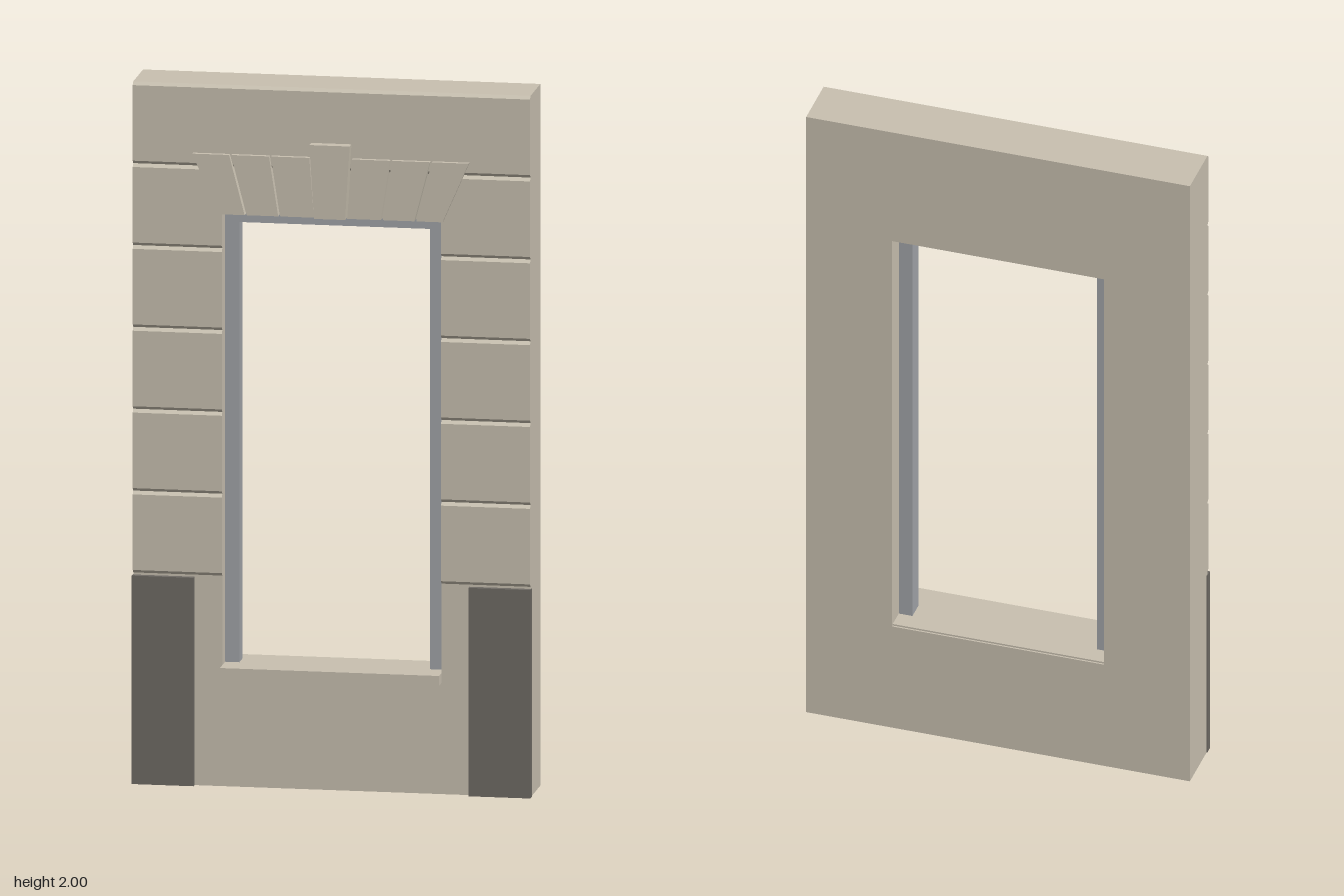
import * as THREE from 'three';

const stone = new THREE.MeshStandardMaterial({ color: 0xc8c0b0 });
stone.name = 'limestone';
const plinthMat = new THREE.MeshStandardMaterial({ color: 0x6e6a64 });
plinthMat.name = 'dark stone';
const frameMat = new THREE.MeshStandardMaterial({ color: 0xa1a4a8 });
frameMat.name = 'grey frame';

// Overall sizes
const W = 0.562, H = 2, BACK = -0.1, SLAB = 0.059, FACE = 0.069;
const OPEN_X = 0.31, OPEN_Y0 = 0.34, OPEN_Y1 = 1.635;

export function createModel() {
  const group = new THREE.Group();

  const add = (name, geometry, material) => {
    const mesh = new THREE.Mesh(geometry, material);
    mesh.name = name;
    group.add(mesh);
    return mesh;
  };
  const box = (name, mat, x0, x1, y0, y1, z0, z1) =>
    add(name, new THREE.BoxGeometry(x1 - x0, y1 - y0, z1 - z0), mat)
      .position.set((x0 + x1) / 2, (y0 + y1) / 2, (z0 + z1) / 2);
  const polygon = (pts) => new THREE.Shape(pts.map(([x, y]) => new THREE.Vector2(x, y)));
  const extrude = (shape, depth) =>
    new THREE.ExtrudeGeometry(shape, { depth, bevelEnabled: false });

  // Wall slab with the window opening
  const wall = polygon([[-W, 0], [W, 0], [W, H], [-W, H]]);
  wall.holes.push(polygon([
    [-OPEN_X, OPEN_Y0], [-OPEN_X, OPEN_Y1], [OPEN_X, OPEN_Y1], [OPEN_X, OPEN_Y0],
  ]));
  add('wall', extrude(wall, SLAB - BACK), stone).position.z = BACK;

  // Stone courses with chamfered edges, leaving V grooves between them
  const course = (name, x0, x1, y0, y1) => {
    const c = 0.009, inner = SLAB - 0.002;
    const profile = polygon([
      [-inner, y0], [-inner, y1], [-SLAB, y1], [-FACE, y1 - c], [-FACE, y0 + c], [-SLAB, y0],
    ]);
    const geometry = extrude(profile, x1 - x0);
    geometry.rotateY(Math.PI / 2); // profile x becomes -z, depth becomes x
    add(name, geometry, stone).position.x = x0;
  };
  const base = 0.6, step = (H - base) / 6;
  for (let i = 0; i < 5; i++) {
    const y = base + i * step;
    course('courseRight' + (i + 1), -W, -OPEN_X, y, y + step);
    course('courseLeft' + (i + 1), OPEN_X, W, y, y + step);
  }
  course('topCourse', -W, W, H - step, H);

  // Flat arch: stones fan out on both sides of a taller keystone
  const archZ = 0.05, archTop = 1.805;
  const gap = 0.003;
  const joints = [[0.044, 0.057], [0.145, 0.171], [0.24, 0.284], [0.317, 0.391]];
  for (const side of [-1, 1]) {
    for (let i = 0; i < 3; i++) {
      const [b0, t0] = joints[i], [b1, t1] = joints[i + 1];
      const g = i < 2 ? gap : 0;
      const shape = polygon([
        [side * (b0 + gap), OPEN_Y1], [side * (b1 - g), OPEN_Y1],
        [side * (t1 - g), archTop], [side * (t0 + gap), archTop],
      ]);
      add((side < 0 ? 'archStoneRight' : 'archStoneLeft') + (i + 1),
        extrude(shape, 0.083 - archZ), stone).position.z = archZ;
    }
  }
  const [kb, kt] = joints[0];
  const keystone = polygon([[-kb, OPEN_Y1], [kb, OPEN_Y1], [kt, 1.845], [-kt, 1.845]]);
  add('keystone', extrude(keystone, 0.099 - archZ), stone).position.z = archZ;

  // Window sill
  const sillTop = 0.345;
  box('sill', stone, -OPEN_X, OPEN_X, 0.317, sillTop, -0.095, 0.099);

  // Window frame: two jambs and a head, open at the bottom
  const f0 = -0.04, f1 = 0.014, jamb = 0.27, head = 1.6;
  box('frameRight', frameMat, -OPEN_X, -jamb, sillTop, OPEN_Y1, f0, f1);
  box('frameLeft', frameMat, jamb, OPEN_X, sillTop, OPEN_Y1, f0, f1);
  box('frameHead', frameMat, -jamb, jamb, head, OPEN_Y1, f0, f1);

  // Dark plinth blocks at the lower corners
  for (const side of [-1, 1]) {
    const a = side * 0.389, b = side * 0.564;
    box(side < 0 ? 'plinthRight' : 'plinthLeft', plinthMat,
      Math.min(a, b), Math.max(a, b), 0, 0.594, 0.052, 0.075);
  }

  return group;
}
